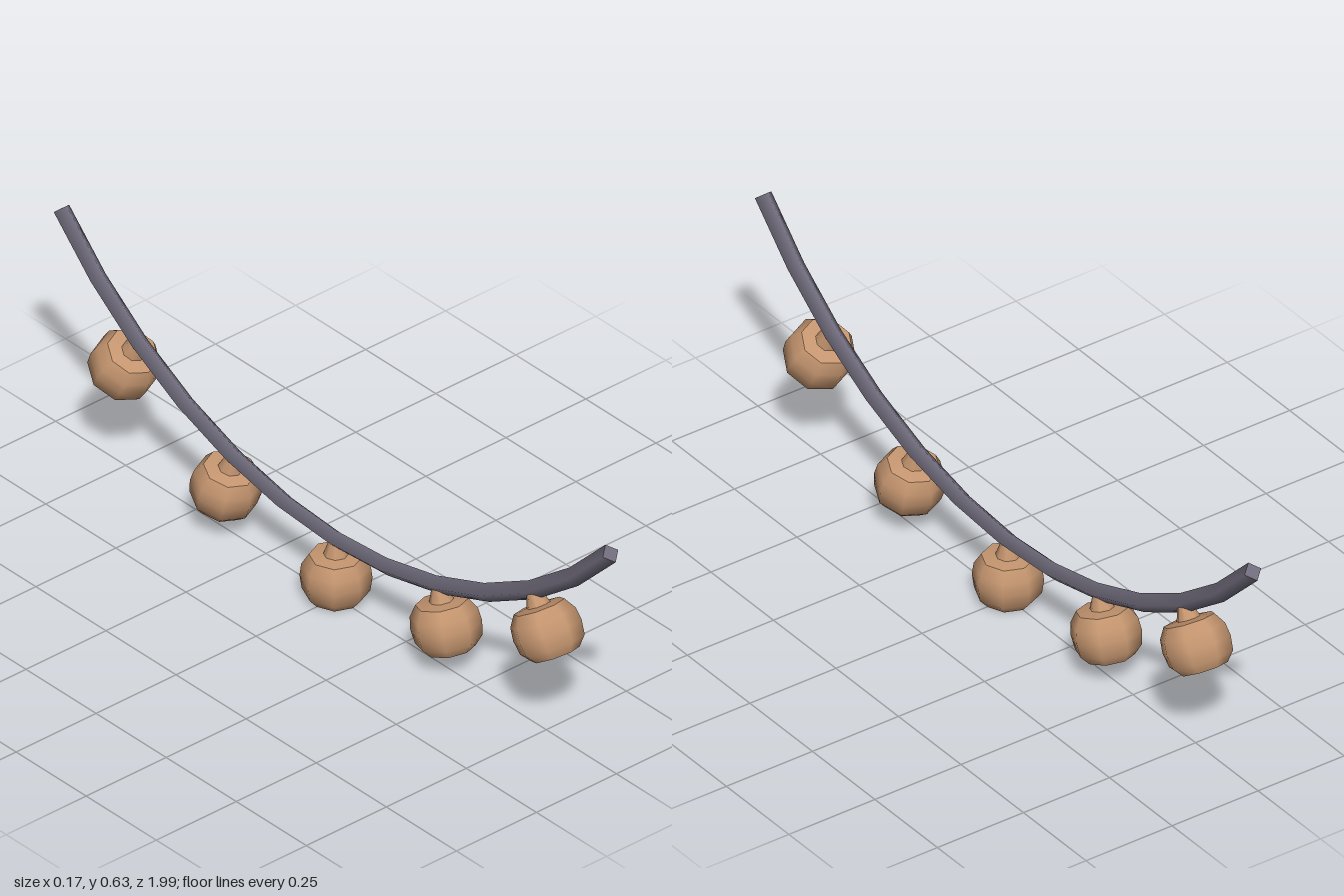
import * as THREE from 'three';

const bronze = new THREE.MeshStandardMaterial({ color: 0xc4956f });
bronze.name = 'bronze';
const strapGrey = new THREE.MeshStandardMaterial({ color: 0x706c7c });
strapGrey.name = 'strapGrey';

// Circular arc the strap follows, in the z-y plane
const RADIUS = 1.3;
const HALF_ANGLE = 0.853;
const LOWEST = 0.165;

class StrapArc extends THREE.Curve {
  getPoint(t, target = new THREE.Vector3()) {
    const a = (2 * t - 1) * HALF_ANGLE;
    return target.set(0, LOWEST + RADIUS * (1 - Math.cos(a)), RADIUS * Math.sin(a));
  }
}

function makeStrap() {
  const strap = new THREE.Group();
  strap.name = 'strap';
  const arc = new StrapArc();
  const tube = new THREE.Mesh(new THREE.TubeGeometry(arc, 12, 0.024, 4, false), strapGrey);
  tube.name = 'strapTube';
  strap.add(tube);

  // Diamond caps close both ends
  for (const end of [0, 1]) {
    const cap = new THREE.Mesh(new THREE.CircleGeometry(0.024, 4), strapGrey);
    cap.name = 'strapEnd';
    cap.position.copy(arc.getPoint(end));
    const outward = arc.getTangent(end).multiplyScalar(end ? 1 : -1);
    cap.lookAt(cap.position.clone().add(outward));
    strap.add(cap);
  }
  return strap;
}

// Eight-sided bell: each lathed section is smooth, with sharp edges between
const bellSections = {
  bellBase: [[0, 0], [0.06, 0]],
  bellBody: [[0.06, 0], [0.081, 0.024], [0.086, 0.06], [0.082, 0.092], [0.064, 0.12]],
  bellShoulder: [[0.064, 0.12], [0.03, 0.124]],
  bellStem: [[0.03, 0.124], [0.018, 0.158]],
  bellStemTop: [[0.018, 0.158], [0, 0.158]],
};

function makeBell(z, y, tilt) {
  const bell = new THREE.Group();
  bell.name = 'bell';
  for (const [name, points] of Object.entries(bellSections)) {
    const profile = points.map(([r, h]) => new THREE.Vector2(r, h - 0.06));
    const section = new THREE.Mesh(new THREE.LatheGeometry(profile, 8), bronze);
    section.name = name;
    bell.add(section);
  }
  bell.position.set(0, y, z);
  bell.rotation.x = -tilt;
  return bell;
}

export function createModel() {
  const model = new THREE.Group();
  model.name = 'bellStrap';
  model.add(makeStrap());

  // One bell at the bottom and two mirrored pairs leaning outward
  model.add(makeBell(0, 0.06, 0));
  for (const side of [1, -1]) {
    model.add(makeBell(side * 0.393, 0.118, side * THREE.MathUtils.degToRad(15)));
    model.add(makeBell(side * 0.754, 0.282, side * THREE.MathUtils.degToRad(30)));
  }
  return model;
}
